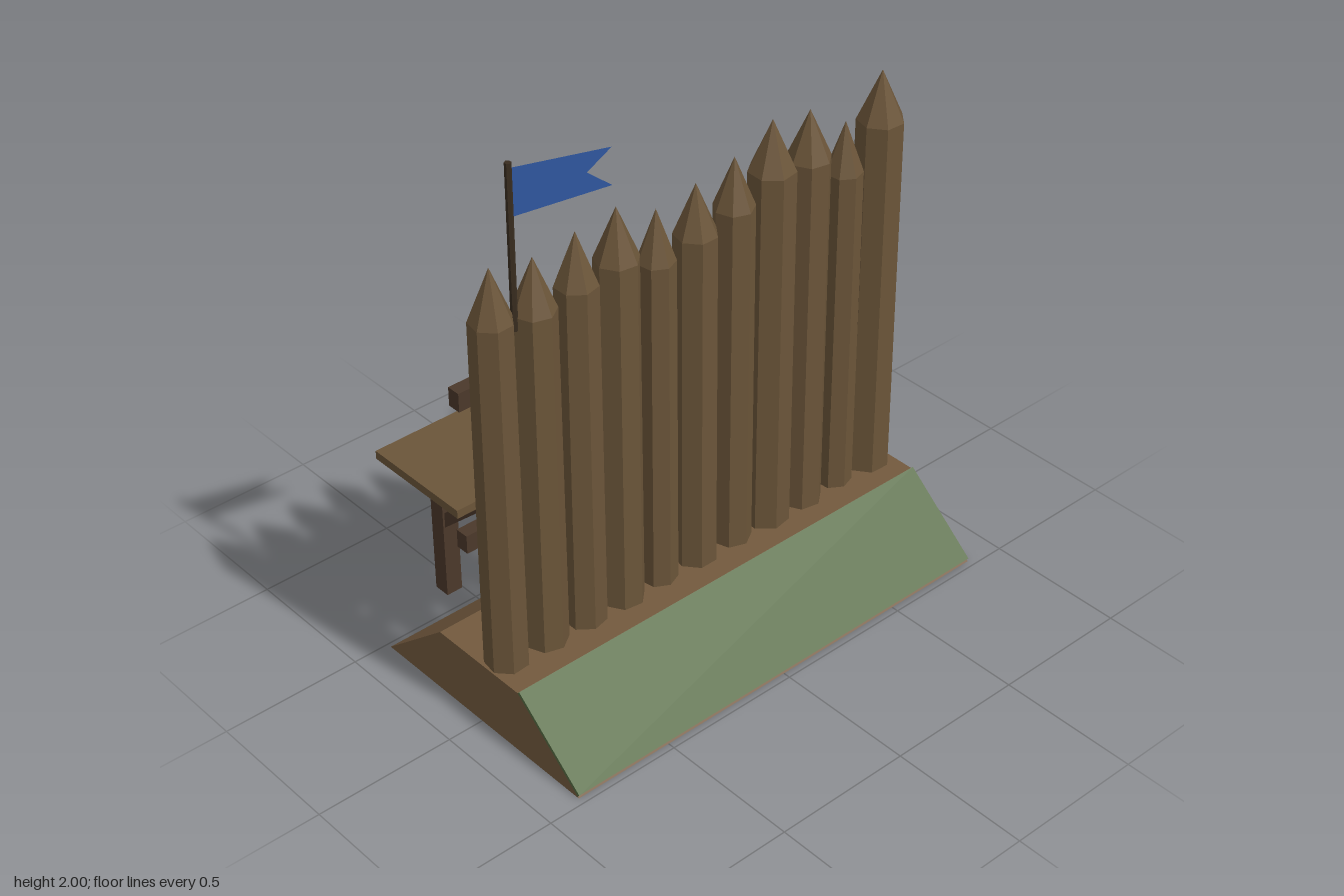
import * as THREE from 'three';

const mat = (name, color, side = THREE.FrontSide) => {
  const m = new THREE.MeshStandardMaterial({ color, side, flatShading: true });
  m.name = name;
  return m;
};

export function createModel() {
  const group = new THREE.Group();
  const log = mat('log wood', 0x6b5539);
  const beam = mat('dark beam wood', 0x4b382a);
  const earth = mat('earth', 0x735a3e, THREE.DoubleSide);
  const grass = mat('grass', 0x566b42);
  const iron = mat('pole wood', 0x3a2d20);
  const cloth = mat('blue cloth', 0x3058a0, THREE.DoubleSide);

  const add = (name, geo, material, x = 0, y = 0, z = 0) => {
    const m = new THREE.Mesh(geo, material);
    m.name = name;
    m.position.set(x, y, z);
    group.add(m);
    return m;
  };
  const box = (name, material, w, h, d, x, y, z) =>
    add(name, new THREE.BoxGeometry(w, h, d), material, x, y, z);

  // Earth bank: trapezoid section, open underneath
  const half = 0.868, top = 0.24;
  const section = [[0.475, 0], [0.19, top], [-0.2, top], [-0.483, 0]];
  const pos = [], index = [];
  for (const x of [-half, half]) for (const [z, y] of section) pos.push(x, y, z);
  for (let i = 0; i < 3; i++) index.push(i, i + 4, i + 5, i, i + 5, i + 1);
  index.push(0, 1, 2, 0, 2, 3, 4, 6, 5, 4, 7, 6);
  const bank = new THREE.BufferGeometry();
  bank.setAttribute('position', new THREE.Float32BufferAttribute(pos, 3));
  bank.setIndex(index);
  const bankFlat = bank.toNonIndexed();
  bankFlat.computeVertexNormals();
  add('earthBank', bankFlat, earth);

  // Turf on the front slope
  const slope = Math.atan2(top, 0.285);
  const turf = box('turf', grass, 2 * half, 0.012, 0.365, 0,
    0.122 + 0.006 * Math.cos(slope), 0.33 + 0.006 * Math.sin(slope));
  turf.rotation.x = slope;

  // Sharpened stakes: x, radius, shoulder height, tip height
  const stakes = [
    [-0.793, 0.072, 1.51, 1.69], [-0.635, 0.073, 1.48, 1.66], [-0.475, 0.072, 1.5, 1.68],
    [-0.318, 0.075, 1.52, 1.7], [-0.163, 0.064, 1.45, 1.63], [-0.003, 0.074, 1.48, 1.655],
    [0.155, 0.07, 1.51, 1.685], [0.313, 0.081, 1.58, 1.755], [0.472, 0.076, 1.56, 1.73],
    [0.63, 0.064, 1.45, 1.63], [0.787, 0.081, 1.58, 1.755],
  ];
  const foot = 0.2;
  stakes.forEach(([x, r, shoulder, tip], i) => {
    const profile = [[0, foot], [r * 1.02, foot], [r * 0.98, shoulder], [0, tip]]
      .map(([a, b]) => new THREE.Vector2(a, b));
    const stake = add('stake' + (i + 1), new THREE.LatheGeometry(profile, 7), log, x, 0, 0.047);
    stake.rotation.y = 0.41 + (10 - i) * 0.37;
  });

  // Rails behind the stakes
  for (const y of [0.69, 1.217]) box('rail', beam, 2 * half, 0.066, 0.048, 0, y, -0.052);

  // Walkway with posts and diagonal braces
  box('walkway', log, 2 * half, 0.03, 0.412, 0, 0.783, -0.274);
  for (const x of [-0.65, 0, 0.65]) {
    box('post', beam, 0.06, 0.61, 0.06, x, 0.465, -0.439);
    const brace = box('brace', beam, 0.045, 0.043, 0.46, x, 0.597, -0.263);
    brace.rotation.x = -Math.atan2(0.295, 0.325);
  }

  // Flagpole and swallow-tailed pennant
  add('flagpole', new THREE.CylinderGeometry(0.011, 0.011, 0.56, 6), iron, -0.708, 1.72, 0.047);
  const shape = new THREE.Shape([[0, -0.08], [0.32, -0.063], [0.24, 0], [0.32, 0.063], [0, 0.08]]
    .map(([x, y]) => new THREE.Vector2(x, y)));
  const flag = add('flag', new THREE.ShapeGeometry(shape), cloth, -0.705, 1.9, 0.047);
  flag.rotation.y = -0.245;

  return group;
}
